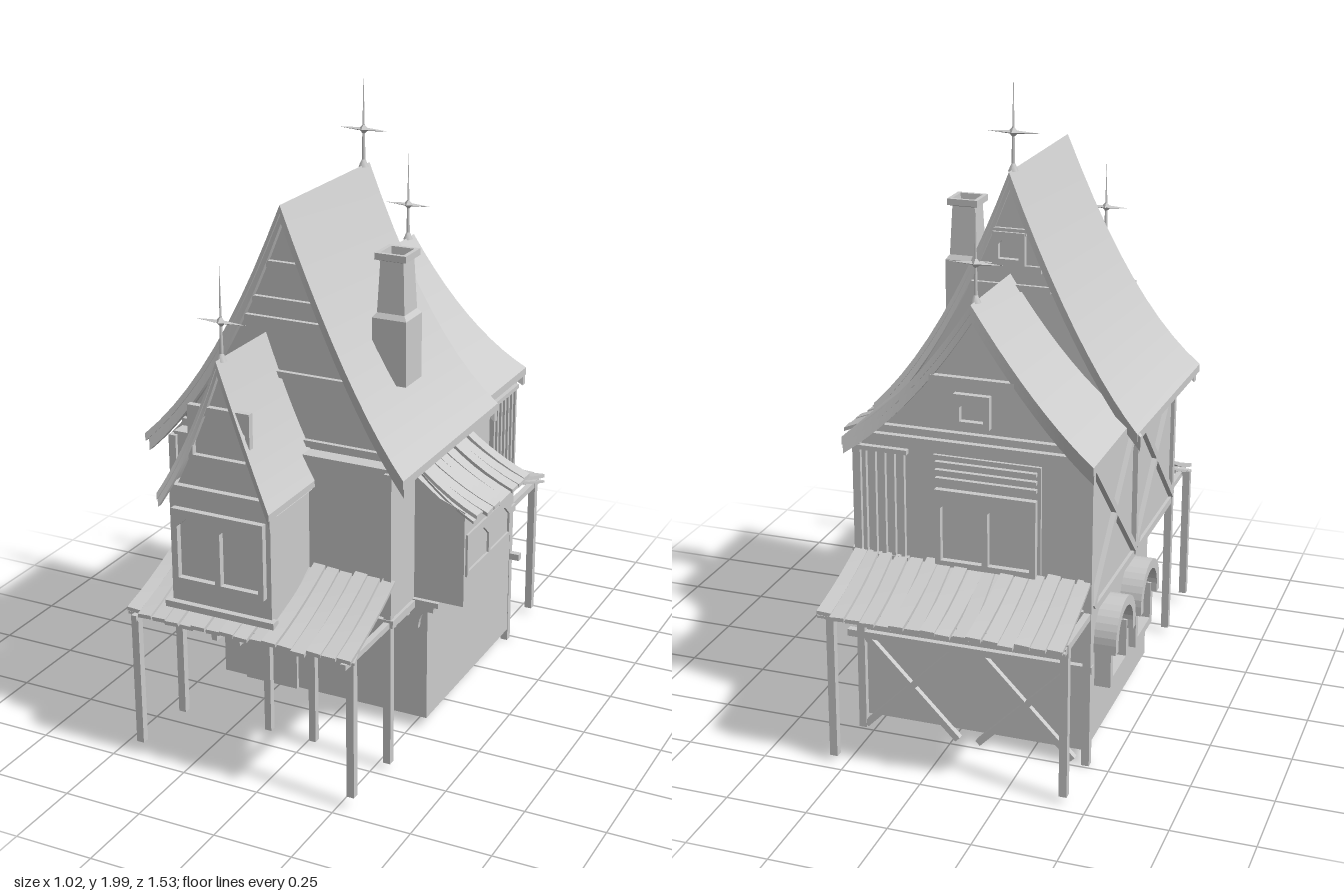
import * as THREE from 'three';
import { toCreasedNormals } from 'three/addons/utils/BufferGeometryUtils.js';

const mat = new THREE.MeshStandardMaterial({ color: 0xcccccc, side: THREE.DoubleSide });
const shapeOf = (pts) => new THREE.Shape(pts.map(([x, y]) => new THREE.Vector2(x, y)));

function add(parent, name, geo, x = 0, y = 0, z = 0, ry = 0) {
  const m = new THREE.Mesh(geo, mat);
  m.name = name;
  m.position.set(x, y, z);
  m.rotation.y = ry;
  parent.add(m);
  return m;
}
// Box given by its minimum and maximum corners
function box(parent, name, x0, x1, y0, y1, z0, z1) {
  return add(parent, name, new THREE.BoxGeometry(x1 - x0, y1 - y0, z1 - z0), (x0 + x1) / 2, (y0 + y1) / 2, (z0 + z1) / 2);
}
// Square timber between two points
function beam(parent, name, a, b, t = 0.022) {
  const p = new THREE.Vector3(...a), q = new THREE.Vector3(...b);
  const m = add(parent, name, new THREE.BoxGeometry(t, t, p.distanceTo(q)));
  m.position.copy(p).add(q).multiplyScalar(0.5);
  m.lookAt(q);
  return m;
}
const extrude = (shape, depth) => new THREE.ExtrudeGeometry(shape, { depth, bevelEnabled: false, curveSegments: 8 });

// Drop from the ridge at fraction t of the way to the eave (concave slope)
const roofY = (r, t) => r.top - (r.top - r.eave) * (t * (1 + r.k) - r.k * t * t);
// Half width of the roof at a given height
function roofHalf(r, y) {
  let t = 0;
  while (t < 1 && roofY(r, t) > y) t += 0.005;
  return t * Math.min(r.wl, r.wr);
}
// Curved two-sided roof shell, swept from eave to eave
function roofGeo(r, front, back, thick, drop = 0) {
  const n = 10, pos = [], rings = [];
  for (let i = -n; i <= n; i++) {
    const t = Math.abs(i) / n, x = r.x + (i < 0 ? -r.wl : r.wr) * t, y = roofY(r, t) - drop;
    const zf = front + r.df * t * t, zb = back - r.db * t * t;
    rings.push([[x, y, zf], [x, y, zb], [x, y - thick, zb], [x, y - thick, zf]]);
  }
  const quad = (a, b, c, d) => [a, b, c, a, c, d].forEach((p) => pos.push(...p));
  for (let i = 0; i < 2 * n; i++)
    for (let j = 0; j < 4; j++)
      quad(rings[i][j], rings[i + 1][j], rings[i + 1][(j + 1) % 4], rings[i][(j + 1) % 4]);
  const a = rings[0], b = rings[2 * n];
  quad(a[0], a[1], a[2], a[3]);
  quad(b[3], b[2], b[1], b[0]);
  const g = new THREE.BufferGeometry();
  g.setAttribute('position', new THREE.Float32BufferAttribute(pos, 3));
  return toCreasedNormals(g, 0.5);
}
// Gable wall that fills the roof profile
function gable(parent, name, r, z, depth) {
  const pts = [];
  for (let i = -10; i <= 10; i++) {
    const t = Math.abs(i) / 10;
    pts.push([r.x + (i < 0 ? -r.wl : r.wr) * t * 0.95, roofY(r, t) - 0.03]);
  }
  add(parent, name, extrude(shapeOf(pts), depth), 0, 0, z);
}
// Window frame with n pointed openings, standing on its bottom centre
function windowGeo(w, h, n, rim = 0.018, depth = 0.02) {
  const s = shapeOf([[-w / 2, 0], [w / 2, 0], [w / 2, h], [-w / 2, h]]);
  const cell = (w - rim) / n;
  for (let i = 0; i < n; i++) {
    const l = -w / 2 + rim + i * cell, r = l + cell - rim, c = (r - l) / 4, t = h - rim;
    s.holes.push(shapeOf([[l, rim], [l, t - c * 1.2], [l + c, t - c * 0.3], [(l + r) / 2, t], [r - c, t - c * 0.3], [r, t - c * 1.2], [r, rim]]));
  }
  return extrude(s, depth);
}
// Concave bracket reaching out along +z and down the wall
function bracket(parent, x, y, z, ry, reach, h) {
  const g = new THREE.Group();
  const s = shapeOf([[0, 0], [reach, 0], [reach, -0.015]]);
  s.quadraticCurveTo(reach * 0.25, -h * 0.25, 0.02, -h);
  s.lineTo(0, -h);
  add(g, 'bracket', extrude(s, 0.016), -0.008, 0, 0, -Math.PI / 2);
  g.position.set(x, y, z);
  g.rotation.y = ry;
  parent.add(g);
}
// Sagging awning of uneven planks running out along +z
function awning(parent, name, count, width, run, rise, x, y, z, ry) {
  const g = new THREE.Group();
  g.name = name;
  let seed = 7;
  const rnd = () => (seed = (seed * 16807) % 2147483647) / 2147483647 - 0.5;
  const bend = (geo, len, lift, skew) => {
    const p = geo.attributes.position;
    for (let i = 0; i < p.count; i++) {
      const t = p.getZ(i) + 0.5;
      p.setXYZ(i, p.getX(i) * (1 + 0.15 * t) + skew * (t - 0.5), p.getY(i) + lift + rise * (1 - t * (1.35 - 0.35 * t)), t * len);
    }
    geo.computeVertexNormals();
    return geo;
  };
  const step = width / count;
  add(g, 'awningBoard', bend(new THREE.BoxGeometry(width * 0.88, 0.008, 1, 1, 1, 5), run - 0.02, -0.008, 0));
  for (let i = 0; i < count; i++)
    add(g, 'plank', bend(new THREE.BoxGeometry(step * 0.84, 0.012, 1, 1, 1, 5), run + rnd() * 0.02, 0.004 + rnd() * 0.01, rnd() * 0.02),
      (i + 0.5) * step - width / 2).rotation.z = rnd() * 0.2;
  g.position.set(x, y, z);
  g.rotation.y = ry;
  parent.add(g);
}
function finial(parent, x, y, z) {
  const g = new THREE.Group();
  g.name = 'finial';
  add(g, 'spire', new THREE.ConeGeometry(0.006, 0.29, 6), 0, 0.145);
  add(g, 'base', new THREE.ConeGeometry(0.016, 0.035, 6), 0, 0.012);
  add(g, 'knob', new THREE.OctahedronGeometry(0.017, 0), 0, 0.11);
  add(g, 'star', new THREE.OctahedronGeometry(1, 0), 0, 0.11).scale.set(0.082, 0.006, 0.013);
  g.position.set(x, y, z);
  parent.add(g);
}

export function createModel() {
  const house = new THREE.Group();
  house.name = 'house';
  const HP = Math.PI / 2;

  // Ground floor walls, open below
  const ring = shapeOf([[-0.42, -0.2], [0.3, -0.2], [0.3, 0.47], [-0.42, 0.47]]);
  ring.holes.push(shapeOf([[-0.4, -0.18], [-0.4, 0.45], [0.28, 0.45], [0.28, -0.18]]));
  add(house, 'groundFloor', extrude(ring, 0.45).rotateX(-HP), 0, 0.05, 0);
  // Upper floor, overhanging at the front
  box(house, 'upperFloor', -0.425, 0.3, 0.5, 0.98, -0.475, 0.455);
  box(house, 'floorPlate', -0.435, 0.31, 0.488, 0.512, -0.49, 0.47);
  box(house, 'door', -0.335, -0.15, 0.05, 0.49, 0.2, 0.212);
  box(house, 'shopWindow', -0.1, 0.195, 0.345, 0.485, 0.2, 0.212);

  // Roofs with thicker gable edges
  const main = { x: -0.065, top: 1.71, eave: 0.97, wl: 0.43, wr: 0.415, k: 0.45, df: 0.06, db: 0.065 };
  const rear = { x: -0.065, top: 1.4, eave: 0.98, wl: 0.385, wr: 0.38, k: 0.4, df: 0, db: 0.06 };
  const dorm = { x: -0.13, top: 1.32, eave: 0.905, wl: 0.185, wr: 0.18, k: 0.25, df: 0, db: 0 };
  const dormFront = { ...dorm, df: 0.04 };
  const mainGeo = roofGeo(main, 0.43, -0.145, 0.025);
  const mp = mainGeo.attributes.position;
  for (let i = 0; i < mp.count; i++) // left eave flares out towards the front
    if (mp.getX(i) < -0.1) mp.setX(i, mp.getX(i) * (1 + 0.05 * (mp.getZ(i) - 0.1)));
  add(house, 'mainRoof', mainGeo);
  add(house, 'rearRoof', roofGeo(rear, -0.1, -0.475, 0.025));
  add(house, 'dormerRoof', roofGeo(dormFront, 0.695, 0.3, 0.02));
  add(house, 'mainBargeboard', roofGeo({ ...main, db: -0.06 }, 0.424, 0.4, 0.045, 0.01));
  add(house, 'mainBackBargeboard', roofGeo({ ...main, df: -0.065 }, -0.12, -0.139, 0.045, 0.01));
  add(house, 'rearBargeboard', roofGeo({ ...rear, df: -0.06 }, -0.45, -0.468, 0.045, 0.01));
  add(house, 'dormerBargeboard', roofGeo({ ...dormFront, db: -0.04 }, 0.69, 0.672, 0.035, 0.01));
  gable(house, 'mainGable', main, -0.13, 0.535);
  gable(house, 'rearGable', rear, -0.455, 0.35);
  gable(house, 'dormerGable', dorm, 0.3, 0.37);

  // Gable timbers
  for (const y of [1.0, 1.2, 1.36, 1.42, 1.53]) {
    const w = roofHalf(main, y + 0.03) - 0.01;
    box(house, 'gableTimber', -0.065 - w, -0.065 + w, y - 0.01, y + 0.01, 0.4, 0.42);
    if (y > 1.3) box(house, 'backGableTimber', -0.065 - w, -0.065 + w, y - 0.01, y + 0.01, -0.142, -0.12);
  }
  for (const y of [1.0, 1.17]) {
    const w = roofHalf(rear, y + 0.03) - 0.01;
    box(house, 'rearGableTimber', -0.065 - w, -0.065 + w, y - 0.01, y + 0.01, -0.475, -0.45);
  }
  add(house, 'rearGableWindow', windowGeo(0.11, 0.1, 1), -0.065, 1.03, -0.455, Math.PI);
  add(house, 'mainBackGableWindow', windowGeo(0.1, 0.1, 1), -0.065, 1.43, -0.13, Math.PI);
  finial(house, -0.065, 1.71, -0.105);
  finial(house, -0.065, 1.4, -0.43);
  finial(house, -0.13, 1.315, 0.66);

  // Front dormer
  box(house, 'dormerBody', -0.3, 0.03, 0.53, 0.92, 0.4, 0.69);
  add(house, 'dormerWindow', windowGeo(0.3, 0.235, 2), -0.135, 0.62, 0.69);
  add(house, 'dormerGableWindow', windowGeo(0.2, 0.165, 1, 0.014), -0.132, 1.01, 0.668);
  box(house, 'dormerSill', -0.315, 0.045, 0.535, 0.555, 0.68, 0.71);

  // Chimney, hollow at the top
  const cut = [[0.055, 0], [0.055, 0.2], [0.044, 0.215], [0.037, 0.37], [0.05, 0.375], [0.05, 0.395], [0.037, 0.395], [0.03, 0.3], [0, 0.3]];
  const chimney = new THREE.LatheGeometry(cut.map(([r, y]) => new THREE.Vector2(r * Math.SQRT2, y)), 4).rotateY(Math.PI / 4);
  add(house, 'chimney', toCreasedNormals(chimney, 0.3), 0.183, 1.15, 0.18);

  // Right bay
  box(house, 'sideBay', 0.29, 0.46, 0.515, 0.82, -0.06, 0.3);
  add(house, 'bayWall', extrude(shapeOf([[0.3, 0.82], [0.46, 0.82], [0.38, 0.85], [0.3, 0.91]]), 0.36), 0, 0, -0.06);
  add(house, 'bayWindow', windowGeo(0.34, 0.135, 2, 0.014, 0.012), 0.455, 0.61, 0.12, HP);
  awning(house, 'bayAwning', 8, 0.37, 0.21, 0.125, 0.3, 0.805, 0.12, HP);
  for (const z of [0.29, 0.18, 0.065, -0.05]) bracket(house, 0.3, 0.515, z, HP, 0.085, 0.095);

  // Slatted screens at the right rear corner
  for (let i = 0; i < 7; i++) {
    box(house, 'sideSlat', 0.3, 0.315, 0.6, 0.94, -0.46 + i * 0.03, -0.448 + i * 0.03);
    if (i < 5) box(house, 'backSlat', 0.26 - i * 0.03, 0.272 - i * 0.03, 0.6, 0.94, -0.49, -0.475);
  }
  for (const y of [0.59, 0.93]) {
    box(house, 'sideScreenRail', 0.3, 0.318, y, y + 0.014, -0.47, -0.265);
    box(house, 'backScreenRail', 0.13, 0.29, y, y + 0.014, -0.493, -0.475);
  }
  // Back window
  box(house, 'backPanel', -0.28, 0.05, 0.56, 0.94, -0.485, -0.47);
  add(house, 'backWindow', windowGeo(0.31, 0.24, 2), -0.115, 0.6, -0.485, Math.PI);
  for (const y of [0.865, 0.89, 0.915]) box(house, 'backLouvre', -0.27, 0.04, y, y + 0.01, -0.5, -0.48);

  // Porch awnings and their posts
  awning(house, 'frontAwning', 16, 0.74, 0.29, 0.125, -0.06, 0.505, 0.46, 0);
  awning(house, 'backAwning', 16, 0.745, 0.275, 0.095, -0.06, 0.505, -0.485, Math.PI);
  for (const x of [-0.425, 0.29]) {
    for (const [z, y0, y1] of [[0.7, 0.05, 0.51], [0.455, 0.03, 0.97], [-0.478, 0.01, 0.97], [-0.7, 0.03, 0.515]])
      beam(house, 'post', [x, y0, z], [x, y1, z], 0.024);
    beam(house, 'backJoist', [x, 0.5, -0.46], [x, 0.5, -0.73], 0.02);
  }
  for (const x of [-0.125, 0.03]) beam(house, 'innerPost', [x, 0.03, 0.44], [x, 0.5, 0.44]);
  for (const x of [-0.4, -0.125, -0.05, 0.29]) beam(house, 'frontJoist', [x, 0.495, 0.2], [x, 0.495, 0.755], 0.018);
  for (const z of [0.7, -0.7]) beam(house, 'porchBeam', [-0.43, 0.503, z], [0.3, 0.503, z], 0.018);
  for (const x of [-0.35, -0.12, 0.03, 0.25]) bracket(house, x, 0.5, 0.2, 0, 0.075, 0.1);
  for (const x of [-0.38, -0.22, -0.065, 0.09, 0.25]) bracket(house, x, 0.5, -0.47, Math.PI, 0.08, 0.07);

  // Cross bracing on the back and left walls
  for (const x of [-0.385, -0.02])
    for (const s of [0, 1]) beam(house, 'backBrace', [x + 0.3 * s, 0.02, -0.478], [x + 0.3 * (1 - s), 0.325, -0.478], 0.02);
  beam(house, 'backRail', [-0.44, 0.325, -0.478], [0.335, 0.325, -0.478]);
  for (const z of [-0.465, 0.0])
    for (const s of [0, 1]) beam(house, 'leftBrace', [-0.43, 0.52, z + 0.45 * s], [-0.43, 0.95, z + 0.45 * (1 - s)]);
  beam(house, 'leftMidPost', [-0.43, 0.5, -0.01], [-0.43, 0.97, -0.01]);

  // Hooded round-arched windows on the left wall
  for (const z of [-0.29, -0.01]) {
    const hood = new THREE.Shape();
    hood.absarc(0, 0, 0.11, 0, Math.PI, false);
    hood.lineTo(-0.11, -0.03);
    hood.lineTo(-0.08, -0.03);
    hood.lineTo(-0.08, 0);
    hood.absarc(0, 0, 0.08, Math.PI, 0, true);
    hood.lineTo(0.08, -0.03);
    hood.lineTo(0.11, -0.03);
    add(house, 'archHood', extrude(hood, 0.07), -0.418, 0.37, z, -HP);
    for (const s of [-1, 1]) box(house, 'archJamb', -0.47, -0.418, 0.225, 0.37, z + s * 0.085 - 0.013, z + s * 0.085 + 0.013);
    box(house, 'archSill', -0.47, -0.418, 0.225, 0.25, z - 0.09, z + 0.09);
    box(house, 'archMullion', -0.435, -0.418, 0.25, 0.45, z - 0.007, z + 0.007);
    box(house, 'archTransom', -0.435, -0.418, 0.355, 0.37, z - 0.08, z + 0.08);
  }
  return house;
}
